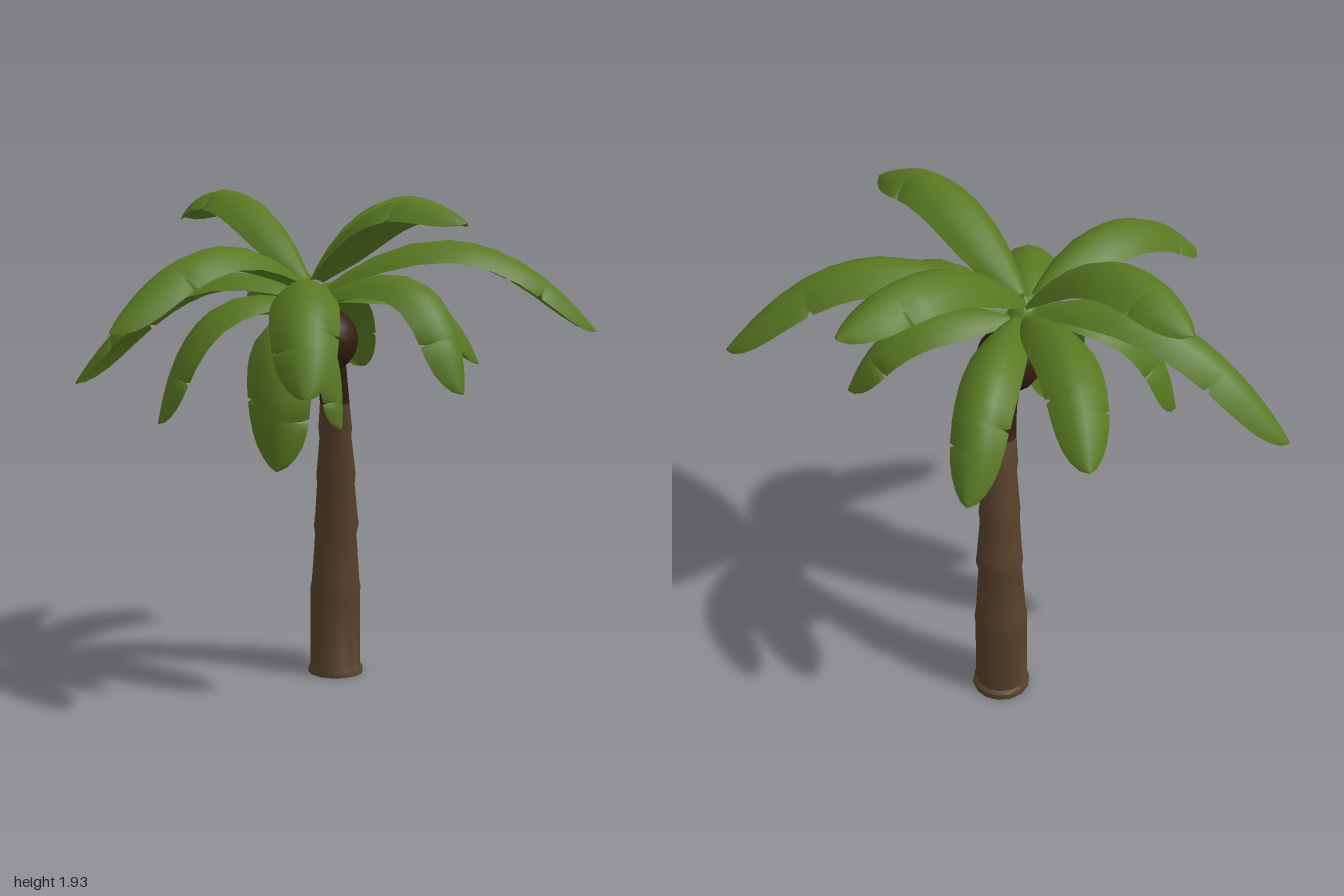
import * as THREE from 'three';
import { toCreasedNormals } from 'three/addons/utils/BufferGeometryUtils.js';

const V = (x, y, z) => new THREE.Vector3(x, y, z);

// Skin a list of closed rings (each counter-clockwise about the travel direction)
function loft(rings, crease) {
  const n = rings[0].length, pos = [], idx = [];
  rings.forEach(r => r.forEach(p => pos.push(p.x, p.y, p.z)));
  for (let i = 0; i < rings.length - 1; i++) {
    for (let j = 0; j < n; j++) {
      const a = i * n + j, b = i * n + (j + 1) % n;
      idx.push(a, b, a + n, b, b + n, a + n);
    }
  }
  const g = new THREE.BufferGeometry();
  g.setAttribute('position', new THREE.Float32BufferAttribute(pos, 3));
  g.setIndex(idx);
  g.computeVertexNormals();
  return toCreasedNormals(g, crease);
}

// Horizontal ring stack: [y, x, z, radius]
function stack(rows, sides) {
  return loft(rows.map(([y, x, z, r]) => Array.from({ length: sides }, (_, j) => {
    const a = (j / sides) * Math.PI * 2;
    return V(x + r * Math.cos(a), y, z - r * Math.sin(a));
  })), 0.7);
}

// Leaf outline: [position along leaf, +side width, -side width], with torn notches
const OUTLINE = [
  [0, .3, .3], [.08, .52, .52], [.18, .77, .77], [.3, .93, .93], [.42, .99, .99],
  [.5, 1, 1], [.58, .99, .99], [.66, .97, .97], [.672, .96, .8], [.684, .95, .95],
  [.76, .91, .91], [.77, .74, .9], [.78, .89, .89], [.84, .82, .82],
  [.9, .69, .69], [.95, .5, .5], [.985, .27, .27], [1, .02, .02],
];

// Arched blade swept along a parabola passing through root, middle and tip
function leafGeometry(root, mid, tip, halfWidth, flip) {
  const control = mid.clone().multiplyScalar(2).addScaledVector(root, -.5).addScaledVector(tip, -.5);
  const curve = new THREE.QuadraticBezierCurve3(root, control, tip);
  const dir = tip.clone().sub(root).setY(0).normalize();
  const S = V(0, 1, 0).cross(dir);
  const across = [1, .75, .4, 0, -.4, -.75, -1];
  return loft(OUTLINE.map(([t, a, b]) => {
    const P = curve.getPointAt(t), T = curve.getTangentAt(t);
    const N = T.clone().cross(S).normalize();
    const [wl, wr] = flip ? [b, a] : [a, b];
    const point = (u, under) => {
      const w = halfWidth * (u > 0 ? wl : wr);
      const drop = .68 * w * u * u + under * .15 * w * (1 - u * u);
      return P.clone().addScaledVector(S, u * w).addScaledVector(N, -drop);
    };
    return [...across.map(u => point(u, 0)), ...across.slice(1, -1).reverse().map(u => point(u, 1))];
  }), 1.0);
}

// Root, middle, tip, half width
const LEAVES = [
  [[-.04, 1.54, 0], [-.53, 1.585, 0], [-1, 1.17, 0], .112],
  [[-.04, 1.6, -.04], [-.38, 1.915, -.23], [-.71, 1.82, -.43], .12],
  [[-.04, 1.55, -.06], [-.3, 1.655, -.41], [-.46, 1.41, -.7], .11],
  [[0, 1.54, -.06], [-.03, 1.535, -.49], [-.05, 1.2, -.745], .105],
  [[-.01, 1.6, -.03], [.16, 1.89, -.42], [.36, 1.81, -.79], .125],
  [[.04, 1.57, -.04], [.54, 1.735, -.19], [.995, 1.4, -.39], .12],
  [[.02, 1.53, -.05], [.35, 1.545, -.22], [.56, 1.27, -.32], .11],
  [[.03, 1.53, .01], [.445, 1.595, .1], [.63, 1.21, .19], .128],
  [[.0, 1.6, 0], [.34, 1.875, .18], [.665, 1.81, .31], .122],
  [[-.01, 1.57, .03], [.11, 1.565, .4], [.19, 1.22, .61], .125],
  [[-.03, 1.5, .04], [-.03, 1.36, .325], [-.02, .92, .335], .125],
  [[-.04, 1.59, .02], [-.25, 1.72, .41], [-.45, 1.44, .79], .122],
  [[-.05, 1.52, .02], [-.37, 1.465, .16], [-.53, 1.06, .24], .125],
  [[.04, 1.46, .14], [.135, 1.34, .14], [.165, 1.06, .15], .075],
];

export function createModel() {
  const tree = new THREE.Group();
  tree.name = 'palmTree';
  const mat = (name, color) => Object.assign(new THREE.MeshStandardMaterial({ color }), { name });
  const leafGreen = mat('leafGreen', 0x597821);
  const barkBrown = mat('barkBrown', 0x56412b);
  const darkBrown = mat('darkBrown', 0x321e0c);
  const add = (name, geo, material, parent = tree) => {
    const m = new THREE.Mesh(geo, material);
    m.name = name;
    parent.add(m);
    return m;
  };

  // Leaning trunk with a base lip and stepped, slightly bulging segments
  add('trunk', stack([
    [0, -.016, -.322, .111], [.022, -.016, -.322, .11], [.034, -.017, -.318, .101],
    [.32, -.016, -.315, .1], [.35, -.015, -.315, .102], [.38, -.014, -.313, .096],
    [.57, -.01, -.302, .083], [.61, -.008, -.303, .09], [.66, -.006, -.297, .084],
    [.78, 0, -.272, .075], [.82, .002, -.268, .078], [.87, .005, -.258, .073],
    [.97, .01, -.236, .063], [1.01, .012, -.228, .066], [1.11, .02, -.197, .058],
  ], 14), barkBrown);

  // Dark neck running into the crown ball
  add('trunkNeck', stack([
    [1.11, .02, -.197, .058], [1.2, .026, -.163, .055], [1.27, .026, -.133, .058], [1.36, .025, -.1, .065],
  ], 14), darkBrown);
  const under = add('trunkUnderside', new THREE.CircleGeometry(.103, 14), darkBrown);
  under.rotation.x = Math.PI / 2;
  under.position.set(-.017, .03, -.32);

  // Ball under the leaves
  const ball = add('crownBall', new THREE.SphereGeometry(.123, 16, 12), darkBrown);
  ball.position.set(.025, 1.365, -.075);

  // Green heart joining the leaf stems
  add('crownHeart', stack([
    [1.44, .01, -.05, .06], [1.5, .0, -.03, .06], [1.56, -.01, -.02, .045], [1.6, -.01, -.01, .001],
  ], 10), leafGreen);

  const crown = new THREE.Group();
  crown.name = 'leaves';
  tree.add(crown);
  LEAVES.forEach(([r, m, t, w], i) =>
    add('leaf' + (i + 1), leafGeometry(V(...r), V(...m), V(...t), w, i % 2 === 1), leafGreen, crown));
  return tree;
}
